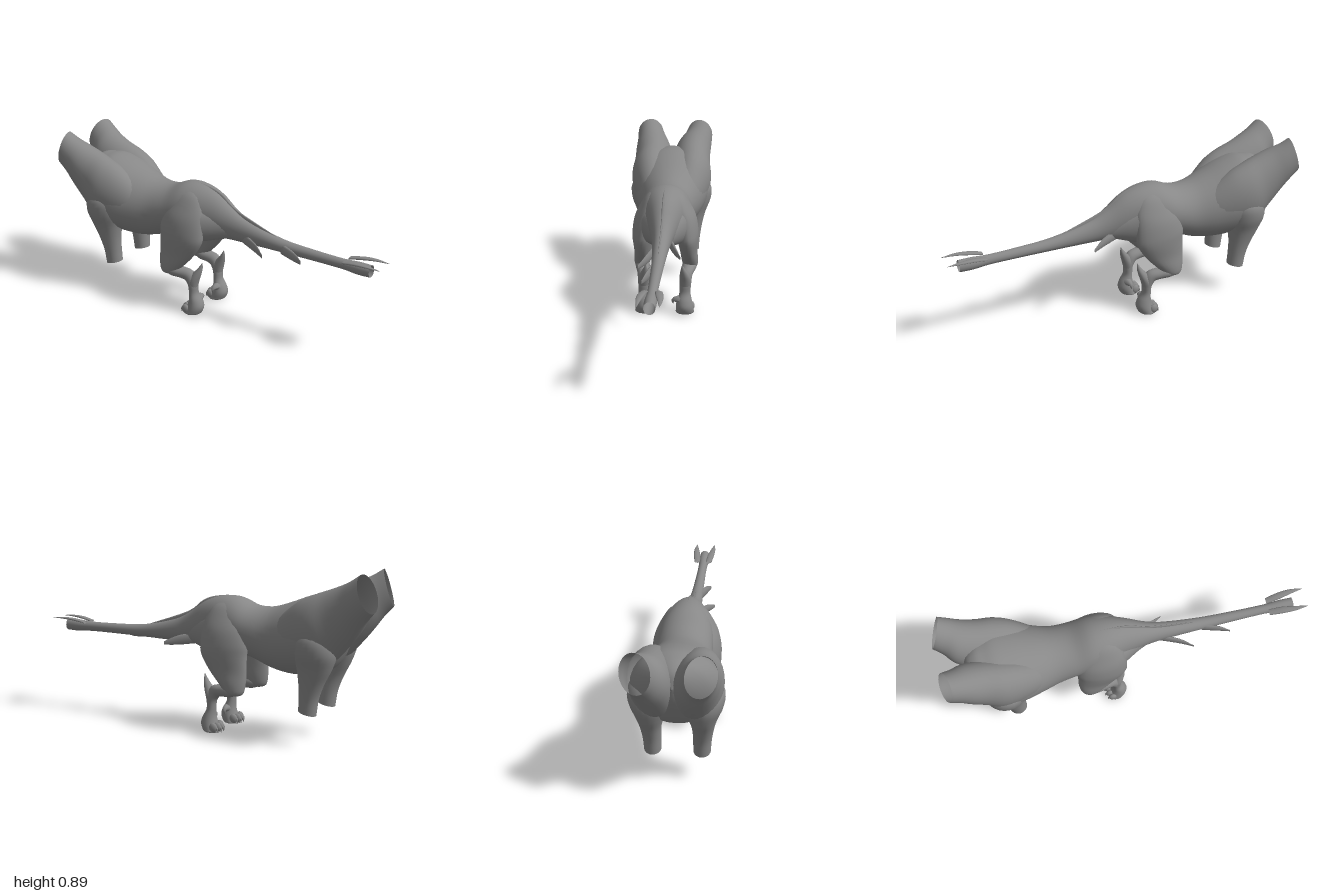
import * as THREE from 'three';

const mat = new THREE.MeshStandardMaterial({ color: 0x888888, side: THREE.DoubleSide });

// Smooth skin through oval sections [x, y, z, halfWidth, halfHeight, tilt about x];
// skew slants every section so one side lies further along z
function loft(name, sections, sides = 24, skew = 0, steps = 4) {
  const centres = new THREE.CatmullRomCurve3(sections.map(s => new THREE.Vector3(s[0], s[1], s[2])), false, 'catmullrom');
  const sizes = new THREE.CatmullRomCurve3(sections.map(s => new THREE.Vector3(s[3], s[4], s[5] || 0)), false, 'catmullrom');
  const rings = (sections.length - 1) * steps;
  const pos = [], idx = [];
  for (let i = 0; i <= rings; i++) {
    const c = centres.getPoint(i / rings), r = sizes.getPoint(i / rings);
    for (let j = 0; j < sides; j++) {
      const a = (j / sides) * Math.PI * 2, u = Math.cos(a) * r.x, v = Math.sin(a) * r.y;
      pos.push(c.x + u, c.y + v * Math.cos(r.z), c.z + v * Math.sin(r.z) + u * skew);
      if (i < rings) {
        const p = i * sides + j, q = i * sides + (j + 1) % sides;
        idx.push(p, q, q + sides, p, q + sides, p + sides);
      }
    }
  }
  const g = new THREE.BufferGeometry();
  g.setAttribute('position', new THREE.Float32BufferAttribute(pos, 3));
  g.setIndex(idx);
  g.computeVertexNormals();
  return named(name, g);
}

function named(name, geometry) {
  const m = new THREE.Mesh(geometry, mat);
  m.name = name;
  return m;
}

// Curved claw: a tube whose rings shrink to a point along the curve
function hookedClaw(name, points, radius) {
  const curve = new THREE.CatmullRomCurve3(points.map(p => new THREE.Vector3(...p)));
  const segments = 10, sides = 10;
  const g = new THREE.TubeGeometry(curve, segments, radius, sides);
  const pos = g.attributes.position, v = new THREE.Vector3();
  for (let i = 0; i < pos.count; i++) {
    const t = Math.floor(i / (sides + 1)) / segments;
    v.fromBufferAttribute(pos, i).lerp(curve.getPointAt(t), t * 0.97);
    pos.setXYZ(i, v.x, v.y, v.z);
  }
  g.computeVertexNormals();
  return named(name, g);
}

export function createModel() {
  const model = new THREE.Group();
  model.name = 'beastBody';
  const H = Math.PI / 2;

  // Torso running from chest into the long tail
  model.add(loft('torsoAndTail', [
    [0, 0.66, -0.865, 0.002, 0.002], [0, 0.65, -0.845, 0.06, 0.08], [0, 0.62, -0.8, 0.13, 0.145],
    [0, 0.585, -0.75, 0.19, 0.187], [0, 0.565, -0.69, 0.225, 0.208], [0, 0.545, -0.6, 0.213, 0.203],
    [0, 0.525, -0.5, 0.182, 0.185], [0, 0.52, -0.4, 0.153, 0.16], [0, 0.54, -0.3, 0.145, 0.14],
    [0, 0.568, -0.2, 0.14, 0.15], [0, 0.583, -0.1, 0.118, 0.135], [0, 0.565, 0, 0.088, 0.122],
    [0, 0.533, 0.1, 0.06, 0.086], [0, 0.51, 0.2, 0.045, 0.06], [0, 0.49, 0.4, 0.033, 0.035],
    [0, 0.486, 0.6, 0.027, 0.028], [0, 0.485, 0.76, 0.025, 0.027], [0, 0.485, 0.85, 0.03, 0.033],
    [0, 0.486, 0.92, 0.028, 0.032]], 32));

  // Thin ridge along the spine over the hips
  model.add(loft('spineRidge', [
    [0, 0.67, -0.27, 0.003, 0.005], [0, 0.7, -0.18, 0.006, 0.02], [0, 0.695, -0.07, 0.007, 0.021],
    [0, 0.66, 0.02, 0.008, 0.028], [0, 0.59, 0.12, 0.006, 0.028], [0, 0.52, 0.38, 0.002, 0.006]], 8));

  for (const s of [-1, 1]) {
    const side = s > 0 ? 'left' : 'right';

    // Open neck stump, widening back into the shoulder
    model.add(loft(side + 'Neck', [
      [s * 0.15 + 0.006, 0.795, -0.966, 0.075, 0.099, 0.3], [s * 0.138 + 0.005, 0.755, -0.92, 0.085, 0.108, 0.3],
      [s * 0.121, 0.71, -0.87, 0.102, 0.127, 0.3], [s * 0.112, 0.655, -0.8, 0.113, 0.153, 0.28],
      [s * 0.112, 0.602, -0.72, 0.122, 0.176, 0.25], [s * 0.105, 0.572, -0.62, 0.108, 0.165, 0.15],
      [s * 0.085, 0.545, -0.5, 0.08, 0.12, 0], [s * 0.07, 0.53, -0.4, 0.03, 0.05, 0]], 28, s * 0.25));

    // Foreleg stump, open below
    model.add(loft(side + 'Foreleg', [
      [s * 0.1, 0.63, -0.68, 0.07, 0.06, H], [s * 0.125, 0.56, -0.685, 0.108, 0.105, H],
      [s * 0.13, 0.48, -0.69, 0.104, 0.112, H], [s * 0.13, 0.4, -0.685, 0.075, 0.092, H],
      [s * 0.13, 0.32, -0.67, 0.055, 0.067, H], [s * 0.126, 0.24, -0.656, 0.047, 0.052, H],
      [s * 0.124, 0.167, -0.648, 0.044, 0.048, 1.33]]));

    // Hind thigh rising into the hip, down to the knee
    model.add(loft(side + 'Thigh', [
      [s * 0.05, 0.705, -0.15, 0.01, 0.02, H], [s * 0.068, 0.67, -0.15, 0.036, 0.075, H],
      [s * 0.085, 0.61, -0.155, 0.056, 0.112, H], [s * 0.102, 0.55, -0.162, 0.066, 0.13, H],
      [s * 0.115, 0.48, -0.166, 0.066, 0.138, H], [s * 0.123, 0.42, -0.168, 0.059, 0.132, H],
      [s * 0.128, 0.34, -0.194, 0.048, 0.108, H], [s * 0.134, 0.27, -0.224, 0.046, 0.074, H],
      [s * 0.137, 0.225, -0.24, 0.036, 0.045, H], [s * 0.137, 0.21, -0.245, 0.003, 0.003, H]]));

    // Flesh joining the haunch to the tail root
    model.add(loft(side + 'Haunch', [
      [s * 0.09, 0.53, -0.2, 0.06, 0.11], [s * 0.085, 0.525, -0.1, 0.073, 0.108],
      [s * 0.06, 0.52, -0.03, 0.06, 0.09], [s * 0.035, 0.515, 0.06, 0.035, 0.06],
      [s * 0.015, 0.505, 0.16, 0.015, 0.03]]));

    // Shin back to the hock, then down to the foot
    model.add(loft(side + 'LowerLeg', [
      [s * 0.137, 0.245, -0.28, 0.015, 0.015, 0], [s * 0.133, 0.238, -0.22, 0.04, 0.034, 0],
      [s * 0.127, 0.232, -0.16, 0.036, 0.032, 0.1], [s * 0.12, 0.22, -0.115, 0.033, 0.035, 0.7],
      [s * 0.116, 0.175, -0.094, 0.032, 0.027, 1.4], [s * 0.114, 0.125, -0.09, 0.031, 0.025, H],
      [s * 0.113, 0.085, -0.079, 0.04, 0.036, H], [s * 0.113, 0.05, -0.078, 0.047, 0.046, H],
      [s * 0.114, 0.02, -0.088, 0.05, 0.048, H], [s * 0.114, 0.003, -0.1, 0.048, 0.045, H],
      [s * 0.114, 0.002, -0.1, 0.002, 0.002, H]]));

    // Spur rising behind the hock
    model.add(loft(side + 'HockSpur', [
      [s * 0.1, 0.308, -0.042, 0.001, 0.001, H], [s * 0.104, 0.275, -0.052, 0.013, 0.013, H],
      [s * 0.111, 0.235, -0.073, 0.026, 0.026, H], [s * 0.115, 0.195, -0.088, 0.033, 0.029, H],
      [s * 0.115, 0.14, -0.092, 0.027, 0.02, H]], 16));

    // Toes with claws
    for (let i = 0; i < 4; i++) {
      const x = s * (0.077 + i * 0.025), z = i % 3 ? -0.13 : -0.12;
      const toe = named(side + 'Toe', new THREE.SphereGeometry(1, 12, 8).scale(0.015, 0.026, 0.024));
      toe.position.set(x, 0.03, z);
      model.add(toe, hookedClaw(side + 'Claw',
        [[x, 0.034, z - 0.01], [x, 0.027, z - 0.023], [x, 0.003, z - 0.026]], 0.01));
    }

    // Hooked inner dewclaw
    model.add(hookedClaw(side + 'Dewclaw', [[s * 0.098, 0.08, -0.078], [s * 0.07, 0.086, -0.078],
      [s * 0.048, 0.08, -0.08], [s * 0.05, 0.056, -0.082]], 0.03));

    // Long flat barb at the tail end
    model.add(loft(side + 'TailBarb', [
      [s * 0.034, 0.51, 0.78, 0.017, 0.006], [s * 0.042, 0.523, 0.85, 0.019, 0.007],
      [s * 0.05, 0.528, 0.92, 0.013, 0.005], [s * 0.052, 0.526, 0.99, 0.001, 0.001]], 8));
  }

  // Staggered broad spines along the tail
  const spines = [[0.03, 0.485, 0.03, 0.102, 0.45, 0.21], [-0.025, 0.485, 0.17, -0.105, 0.45, 0.345],
    [-0.02, 0.48, 0.41, -0.068, 0.458, 0.555]];
  for (const [x, y, z, tx, ty, tz] of spines) {
    model.add(loft('tailSpine', [
      [x, y, z, 0.012, 0.03], [(x + tx) / 2, (y + ty) / 2, z * 0.4 + tz * 0.6, 0.01, 0.026],
      [tx, ty, tz, 0.001, 0.01]], 8));
  }
  return model;
}
